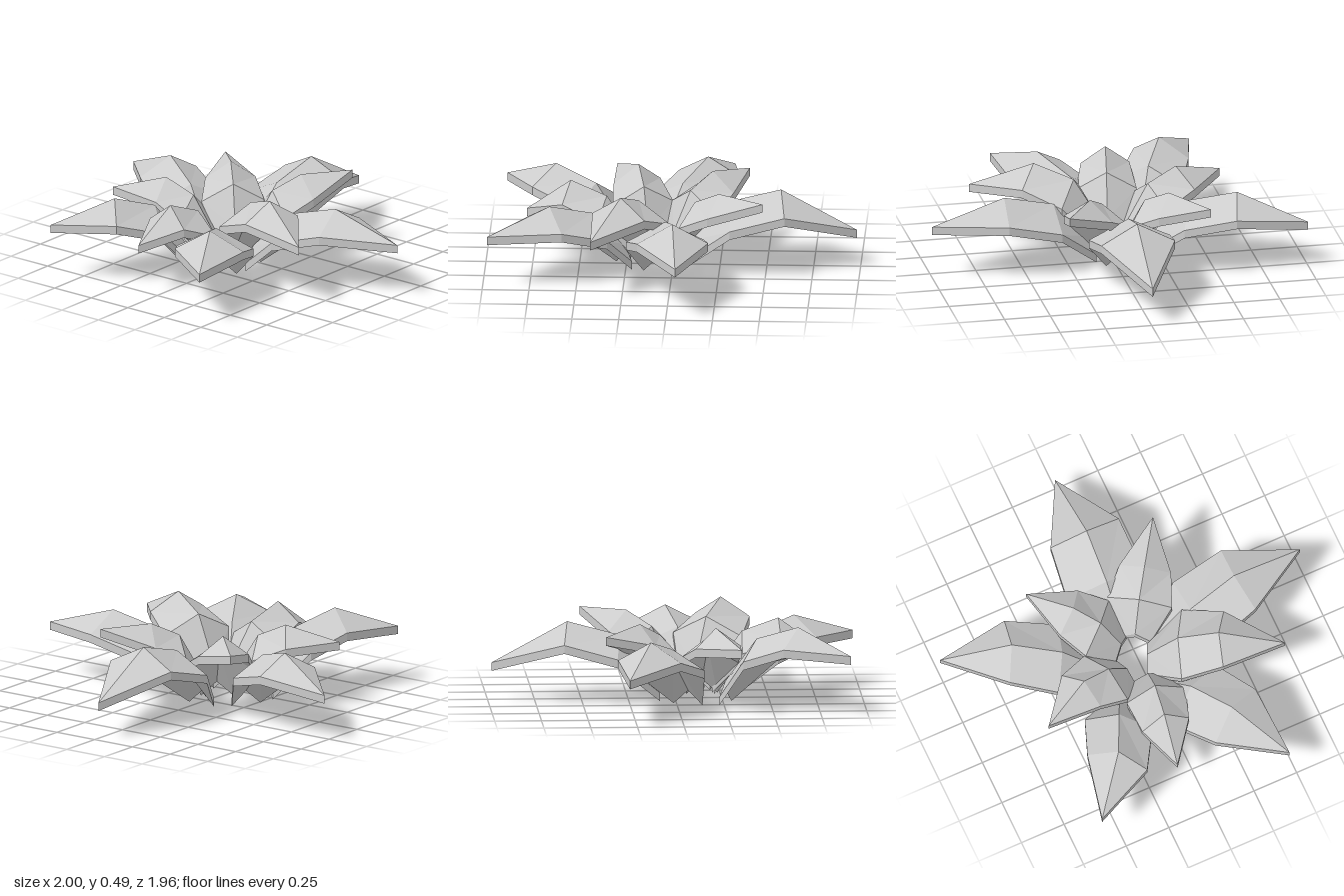
import * as THREE from 'three';

const THICK = 0.045;

// One folded leaf: chevron cross-sections lofted from base to pointed tip.
function leafGeometry({ base, mid, tip, width }, { baseY, flare }) {
  const b = new THREE.Vector3(base[0], baseY, base[1]);
  const m = new THREE.Vector3(...mid);
  const t = new THREE.Vector3(...tip);
  const shoulder = b.clone().lerp(m, 0.43);
  shoulder.y = m.y - 0.075;
  const flat = (from, to) => to.clone().sub(from).setY(0).normalize();
  const inner = flat(b, m), outer = flat(m, t);
  const between = inner.clone().add(outer).normalize();

  // ridge point, heading, half width, edge drop, forward sweep of the edges
  const stations = [
    [b, inner, 0.085, 0.075, 0],
    [shoulder, between, width * flare, 0.1, 0.02],
    [m, outer, width, 0.1, 0.025],
    [t, outer, 0, 0, 0],
  ];
  const rings = stations.map(([p, d, w, drop, sweep]) => {
    const side = new THREE.Vector3(d.z, 0, -d.x);
    const edge = (s, low) => p.clone().addScaledVector(side, s * w)
      .addScaledVector(d, sweep).add(new THREE.Vector3(0, -drop - low, 0));
    const keel = p.clone().add(new THREE.Vector3(0, -THICK, 0));
    return [edge(-1, 0), edge(-1, THICK), keel, edge(1, THICK), edge(1, 0), p];
  });

  const pos = [];
  const tri = (...v) => {
    const area = new THREE.Triangle(...v).getArea();
    if (area > 1e-7) v.forEach((q) => pos.push(q.x, q.y, q.z));
  };
  const quad = (p, q, r, s) => { tri(p, q, r); tri(p, r, s); };
  for (let k = 0; k < rings.length - 1; k++) {
    const A = rings[k], B = rings[k + 1];
    for (let i = 0; i < 6; i++) {
      const j = (i + 1) % 6;
      // split every quad so that the two halves mirror each other
      if (i === 0 || i === 1 || i === 5) quad(A[i], A[j], B[j], B[i]);
      else quad(A[j], B[j], B[i], A[i]);
    }
  }
  // closed base end
  const [lt, lb, keel, rb, rt, ridge] = rings[0];
  quad(ridge, keel, lb, lt);
  quad(rt, rb, keel, ridge);

  const g = new THREE.BufferGeometry();
  g.setAttribute('position', new THREE.Float32BufferAttribute(pos, 3));
  g.computeVertexNormals();
  return g;
}

export function createModel() {
  const leafGrey = new THREE.MeshStandardMaterial({ color: 0xcccccc, flatShading: true });
  leafGrey.name = 'leafGrey';

  // Large spreading leaves
  const outerLeaves = [
    { base: [-0.03, -0.08], mid: [-0.01, 0.42, -0.575], tip: [-0.01, 0.2, -0.98], width: 0.2 },
    { base: [0.11, 0.07], mid: [0.6, 0.41, -0.02], tip: [1, 0.285, -0.05], width: 0.19 },
    { base: [-0.22, 0.06], mid: [-0.64, 0.4, -0.16], tip: [-1, 0.25, -0.29], width: 0.175 },
    { base: [-0.2, 0.26], mid: [-0.38, 0.435, 0.64], tip: [-0.6, 0.31, 0.91], width: 0.165 },
    { base: [0.04, 0.26], mid: [0.28, 0.4, 0.65], tip: [0.47, 0.285, 0.975], width: 0.185 },
  ];
  // Smaller leaves in the gaps, closer to the centre
  const innerLeaves = [
    { base: [-0.01, 0.21], mid: [-0.07, 0.44, 0.55], tip: [-0.1, 0.27, 0.785], width: 0.13 },
    { base: [0.03, 0.11], mid: [0.38, 0.485, 0.265], tip: [0.7, 0.335, 0.415], width: 0.157 },
    { base: [0.02, -0.02], mid: [0.18, 0.45, -0.25], tip: [0.34, 0.445, -0.49], width: 0.14 },
    { base: [-0.07, 0], mid: [-0.26, 0.44, -0.2], tip: [-0.45, 0.4, -0.39], width: 0.135 },
    { base: [-0.1, 0.14], mid: [-0.38, 0.435, 0.2], tip: [-0.645, 0.355, 0.325], width: 0.135 },
  ];

  const plant = new THREE.Group();
  plant.name = 'leafRosette';
  const addRing = (name, leaves, form) => {
    const ring = new THREE.Group();
    ring.name = name + 'Leaves';
    leaves.forEach((leaf, i) => {
      const mesh = new THREE.Mesh(leafGeometry(leaf, form), leafGrey);
      mesh.name = `${name}Leaf${i + 1}`;
      ring.add(mesh);
    });
    plant.add(ring);
  };
  addRing('outer', outerLeaves, { baseY: 0.12, flare: 1.1 });
  addRing('inner', innerLeaves, { baseY: 0.16, flare: 1.25 });
  return plant;
}
